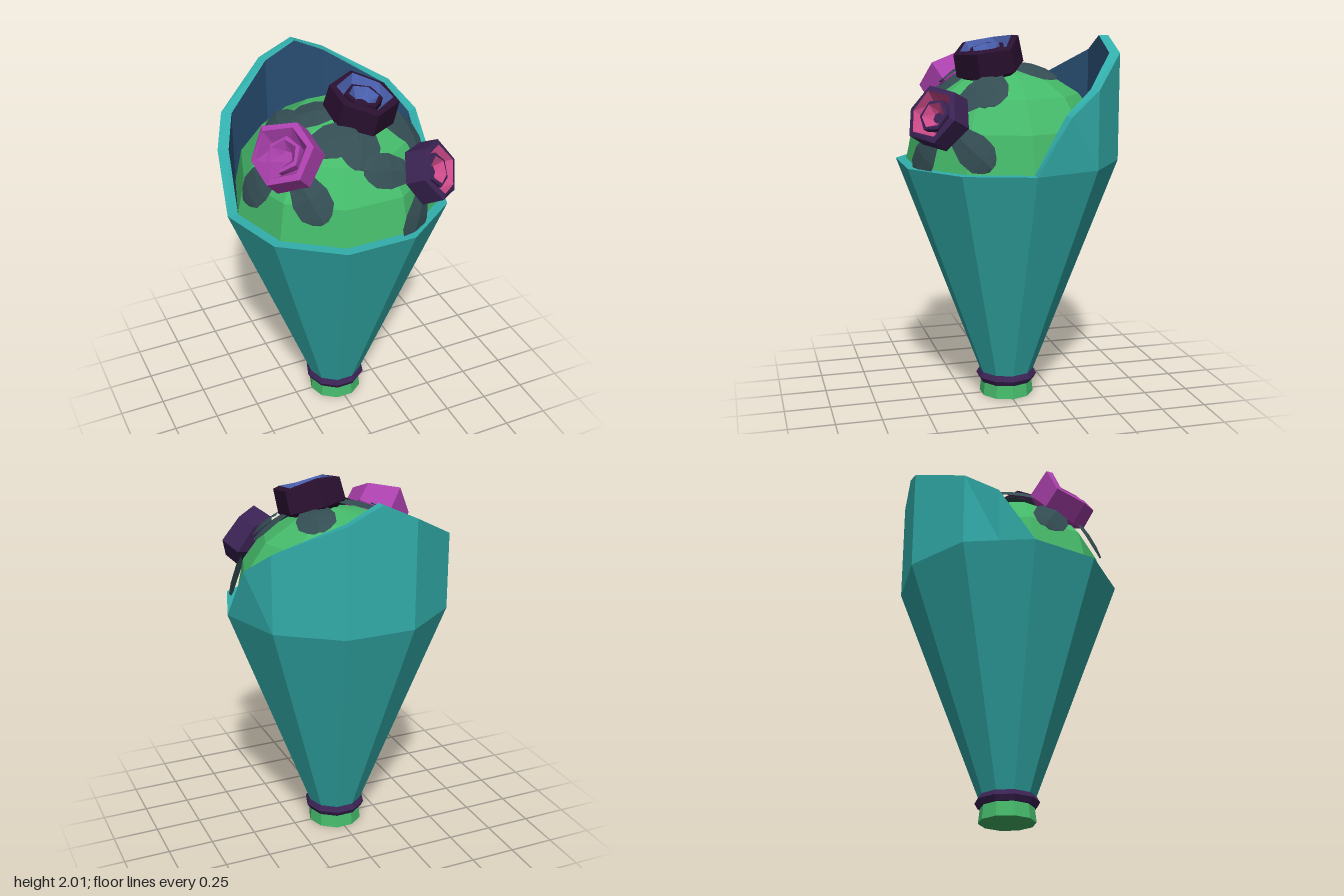
import * as THREE from 'three';

const material = (name, color, extra = {}) =>
  Object.assign(new THREE.MeshStandardMaterial({ color, flatShading: true, ...extra }), { name });

// Surface through consecutive cross-sections (arrays of Vector3)
function loft(sections, closed = false) {
  const out = [];
  for (let i = 0; i < sections.length - 1; i++) {
    const lo = sections[i], hi = sections[i + 1], n = lo.length;
    for (let j = 0; j < (closed ? n : n - 1); j++) {
      const k = (j + 1) % n;
      for (const p of [lo[j], lo[k], hi[j], lo[k], hi[k], hi[j]]) out.push(p.x, p.y, p.z);
    }
  }
  const g = new THREE.BufferGeometry();
  g.setAttribute('position', new THREE.Float32BufferAttribute(out, 3));
  g.computeVertexNormals();
  return g;
}

export function createModel() {
  const teal = material('teal wrap', 0x32aeab, { side: THREE.DoubleSide });
  const navy = material('navy lining', 0x2a4f74, { side: THREE.DoubleSide });
  const green = material('green', 0x45ba6a);
  const leafMat = material('slate leaf', 0x334d53, { side: THREE.DoubleSide });
  const plum = material('deep plum', 0x2a1030);
  const purple = material('purple', 0x3b2354);
  const magenta = material('magenta', 0xa940ab);
  const blue = material('blue', 0x4a60ae);
  const pink = material('pink', 0xcc4a88);

  const root = new THREE.Group();
  root.name = 'bouquet';
  const add = (parent, name, geometry, mat) => {
    const m = new THREE.Mesh(geometry, mat);
    m.name = name;
    parent.add(m);
    return m;
  };

  const RIM = 1.34, R_OUT = 0.607, R_IN = 0.55;

  // Stem end, tie and paper cone
  const stem = new THREE.CylinderGeometry(0.14, 0.152, 0.1, 10, 1, false, Math.PI / 2);
  add(root, 'stem', stem, green).position.y = 0.05;
  const tie = new THREE.TorusGeometry(0.138, 0.033, 6, 10);
  tie.rotateX(Math.PI / 2);
  add(root, 'tie', tie, purple).position.y = 0.107;
  const cone = new THREE.CylinderGeometry(R_OUT, 0.15, RIM - 0.13, 10, 1, true, Math.PI / 2);
  add(root, 'wrapCone', cone, teal).position.y = (RIM + 0.13) / 2;

  // Flat rim around the front half
  const arc = (r, y) => Array.from({ length: 6 }, (_, i) =>
    new THREE.Vector3(r * Math.cos(i * Math.PI / 5), y, r * Math.sin(i * Math.PI / 5)));
  add(root, 'frontRim', loft([arc(R_IN, RIM), arc(R_OUT, RIM)]), teal);

  // Raised back collar: [angle, top height], mirrored about x = 0
  const half = [[0, RIM], [18, 1.63], [36, 1.75], [72, 1.915]];
  const steps = [...half, [90, 2], ...half.map(([a, h]) => [180 - a, h]).reverse()];
  const collar = (r, top) => steps.map(([deg, h]) => {
    const a = deg * Math.PI / 180;
    const chord = deg === 90 || (!top && deg % 36 !== 0) ? Math.cos(Math.PI / 10) : 1;
    return new THREE.Vector3(r * chord * Math.cos(a), top ? h : RIM, -r * chord * Math.sin(a));
  });
  add(root, 'collarOutside', loft([collar(R_OUT, false), collar(R_OUT, true)]), teal);
  add(root, 'collarEdge', loft([collar(R_OUT, true), collar(R_IN, true)]), teal);
  add(root, 'collarLining', loft([collar(R_IN, true), collar(R_IN, false)]), navy);

  // Faceted foliage dome
  const profile = [0, 1, 2, 3, 4].map(i => {
    const a = i * Math.PI / 8;
    return new THREE.Vector2(i === 4 ? 0 : R_IN * Math.cos(a), RIM + 0.51 * Math.sin(a));
  });
  add(root, 'foliageDome', new THREE.LatheGeometry(profile, 10, Math.PI / 2), green);

  // Rose cross-sections: [radius, height, twist]
  const rings = [
    [0.1, -0.1, 0], [0.185, -0.05, 0], [0.18, 0.07, 0], [0.145, 0.08, 0.05],
    [0.1, 0.02, 0.2], [0.1, 0.065, 0.25], [0.08, 0.07, 0.35],
    [0.035, 0.02, 0.6], [0, 0.02, 0.6],
  ];
  const innerBands = [3, 6];

  // Leaf half-widths along its length
  const leafShape = [[0.06, 0.04], [0.14, 0.075], [0.22, 0.105], [0.3, 0.1], [0.345, 0.06], [0.365, 0.025]];

  function rose({ name, at, size, outer, inner, leafAngle, leafRadius, tips }) {
    const g = new THREE.Group();
    g.name = name;
    const centre = new THREE.Vector3(0, RIM, 0);
    g.position.set(...at);
    const normal = g.position.clone().sub(centre);
    const dist = normal.length();
    g.quaternion.setFromUnitVectors(new THREE.Vector3(0, 1, 0), normal.normalize());

    // Six-sided nested petals with uneven tips
    const loops = rings.map(([r, y, twist], i) => Array.from({ length: 6 }, (_, k) => {
      const a = k * Math.PI / 3 + twist;
      const lift = i === 2 || i === 3 ? tips[k] : 0;
      return new THREE.Vector3(r * Math.sin(a), y + lift, r * Math.cos(a)).multiplyScalar(size);
    }));
    for (let i = 0; i < loops.length - 1; i++) {
      const isInner = innerBands.includes(i);
      add(g, isInner ? 'innerPetals' : 'outerPetals',
        loft([loops[i], loops[i + 1]], true), isInner ? inner : outer);
    }

    // Four leaves draped over the dome
    const sections = leafShape.map(([s, w]) => [-1, 0, 1].map(side => {
      const a = s / leafRadius;
      const p = new THREE.Vector3(Math.sin(a) * leafRadius, Math.cos(a) * leafRadius, side * w * size);
      p.setLength(leafRadius + (side ? 0 : 0.008));
      p.y -= dist;
      return p;
    }));
    const leaf = loft(sections);
    for (let k = 0; k < 4; k++) {
      add(g, 'leaf', leaf, leafMat).rotation.y = -(leafAngle * Math.PI / 180 + k * Math.PI / 2);
    }
    root.add(g);
  }

  rose({ name: 'topRose', at: [0.09, 1.885, 0.12], size: 1, outer: plum, inner: blue,
    leafAngle: 19, leafRadius: 0.535, tips: [0, 0.015, 0, 0.02, 0, 0.01] });
  rose({ name: 'rightRose', at: [-0.35, 1.74, 0.225], size: 0.95, outer: magenta, inner: magenta,
    leafAngle: 10, leafRadius: 0.555, tips: [0, 0.01, 0, 0.05, 0, 0.01] });
  rose({ name: 'leftRose', at: [0.325, 1.61, 0.43], size: 0.88, outer: purple, inner: pink,
    leafAngle: -5, leafRadius: 0.56, tips: [0.02, 0, 0.01, 0, 0.02, 0] });

  return root;
}
